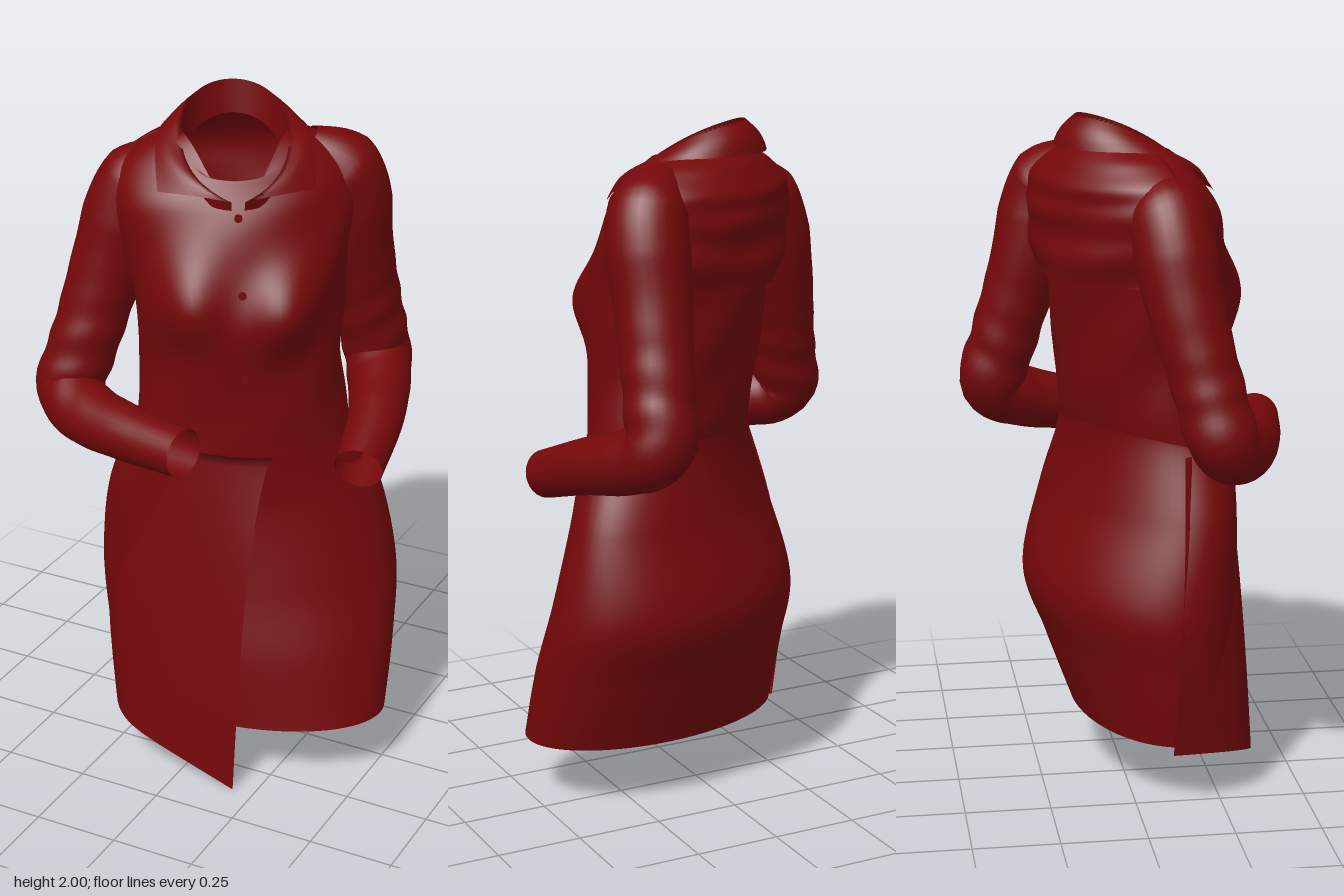
import * as THREE from 'three';
import { ParametricGeometry } from 'three/addons/geometries/ParametricGeometry.js';

const { lerp, degToRad } = THREE.MathUtils;
const V = (x, y, z) => new THREE.Vector3(x, y, z);
const TAU = Math.PI * 2;

const cloth = new THREE.MeshStandardMaterial({ color: 0x75080a, side: THREE.DoubleSide });
cloth.name = 'dark red cloth';

function add(parent, name, geometry) {
  const mesh = new THREE.Mesh(geometry, cloth);
  mesh.name = name;
  parent.add(mesh);
  return mesh;
}

// Smooth interpolation of each column of a table of rings
function ringTable(rows) {
  const curves = rows[0].map((_, c) => new THREE.SplineCurve(rows.map((r) => new THREE.Vector2(r[c], 0))));
  return (v) => curves.map((c) => c.getPoint(v).x);
}

// Rings: y, centre x, centre z, half width, half depth, neckline drop
const torsoRings = ringTable([
  [1.02, 0.02, 0.09, 0.31, 0.185, 0],
  [1.15, 0.02, 0.075, 0.295, 0.205, 0],
  [1.30, 0.015, 0.065, 0.285, 0.22, 0],
  [1.45, 0.01, 0.055, 0.30, 0.23, 0],
  [1.60, 0.005, 0.03, 0.32, 0.225, 0],
  [1.72, 0, 0.005, 0.335, 0.21, 0],
  [1.80, 0, -0.02, 0.315, 0.185, 0.01],
  [1.865, 0, -0.02, 0.24, 0.15, 0.07],
  [1.90, 0, -0.01, 0.15, 0.13, 0.16],
]);
// Rings: y, centre x, centre z, half width, half depth, turn in degrees
const skirtRings = ringTable([
  [1.04, 0.067, 0.077, 0.32, 0.185, 30],
  [0.85, 0.06, 0.046, 0.395, 0.21, 28],
  [0.60, 0.062, 0.02, 0.435, 0.27, 22],
  [0.40, 0.085, 0.06, 0.43, 0.262, 15],
  [0.19, 0.105, 0.1, 0.415, 0.235, 8],
]);

// Point on the blouse; t = PI / 2 is the front
function torsoPoint(t, v, offset, target) {
  const [y, cx, cz, a, b, drop] = torsoRings(v);
  const s = Math.sin(t), front = Math.max(0, s) ** 4;
  const crease = 0.005 * Math.sin(5 * t + 22 * v) * Math.sin(Math.PI * Math.min(1, v * 1.3));
  const grow = offset + crease;
  const x = cx + (a + grow) * Math.cos(t);
  let z = cz + (b + grow) * s + drop * 0.5 * front;
  // bust
  if (s > 0) {
    for (const side of [-1, 1]) {
      z += 0.07 * s * Math.exp(-(((x - side * 0.15) / 0.11) ** 2) - (((y - 1.46) / 0.13) ** 2));
    }
  }
  return target.set(x, y - drop * front, z);
}

function torsoPatch(t0, t1, v0, v1, offset, nu, nv) {
  return new ParametricGeometry(
    (u, v, p) => torsoPoint(lerp(t0, t1, u), lerp(v0, v1, v), offset(u, v), p), nu, nv);
}

// Skirt with a waist that rises towards the back
function skirtGeometry() {
  return new ParametricGeometry((u, v, p) => {
    const [y, cx, cz, a, b, turn] = skirtRings(v);
    const t = u * TAU, c = Math.cos(degToRad(turn)), s = Math.sin(degToRad(turn));
    const rise = Math.max(0, -Math.sin(t)) * (1 - v) ** 6;
    const x = a * Math.cos(t), z = b * Math.sin(t) * (1 + 0.2 * rise);
    p.set(cx + x * c + z * s, y + 0.06 * rise, cz - x * s + z * c);
  }, 72, 40);
}

// Collar: inner stand, fold line, then the flap with two pointed tips
function collarGeometry() {
  const base = V(0, 0, 0), fold = V(0, 0, 0), edge = V(0, 0, 0);
  const polar = (out, phi, r, y) => out.set(r * Math.sin(phi), y, r * Math.cos(phi));
  return new ParametricGeometry((u, v, p) => {
    const s = u * 2 - 1, m = Math.abs(s);
    const phi = Math.PI + s * (Math.PI - 0.08);
    const k = (1 - Math.cos(phi)) / 2, open = 0.09 * (1 - k) ** 4;
    polar(base, phi, 0.13 + open, 1.735 + 0.165 * k);
    polar(fold, phi, 0.138 + open, 1.755 + 0.24 * k ** 0.55);
    polar(edge, Math.PI + s * (Math.PI - 0.95), 0.2 + 0.066 * m ** 5, 1.77 + 0.13 * (1 - m ** 6));
    if (v < 0.5) {
      p.lerpVectors(base, fold, v * 2);
    } else {
      // the flap bows outwards over the shirt
      const w = v * 2 - 1, bow = 0.02 * Math.sin(Math.PI * w);
      p.lerpVectors(fold, edge, w);
      p.set(p.x * (1 + bow * 3), p.y + bow * 0.4, p.z * (1 + bow * 3));
    }
  }, 64, 12);
}

// Sleeve: a tube whose radius follows a list, with soft bunching at the elbow
function sleeveGeometry(points) {
  const radii = [0.05, 0.112, 0.118, 0.11, 0.102, 0.1, 0.1, 0.093, 0.084, 0.076, 0.07];
  const path = new THREE.CatmullRomCurve3(points);
  const seg = 80, sides = 28;
  const geometry = new THREE.TubeGeometry(path, seg, 1, sides, false);
  const pos = geometry.attributes.position, nor = geometry.attributes.normal;
  const n = V(0, 0, 0);
  for (let i = 0; i < pos.count; i++) {
    const ring = Math.floor(i / (sides + 1)), t = ring / seg;
    const f = t * (radii.length - 1), j = Math.min(Math.floor(f), radii.length - 2);
    const around = (i % (sides + 1)) / sides * TAU;
    const bunch = 0.003 * Math.exp(-(((t - 0.55) / 0.15) ** 2)) * Math.sin(t * 70 + 2 * Math.sin(around));
    const r = lerp(radii[j], radii[j + 1], f - j) + bunch;
    const c = path.getPointAt(t);
    n.fromBufferAttribute(nor, i);
    pos.setXYZ(i, c.x + n.x * r, c.y + n.y * r, c.z + n.z * r);
  }
  geometry.computeVertexNormals();
  // share normals across the tube's seam
  for (let r = 0; r <= seg; r++) {
    const a = r * (sides + 1), b = a + sides;
    n.fromBufferAttribute(nor, a).add(V(nor.getX(b), nor.getY(b), nor.getZ(b))).normalize();
    nor.setXYZ(a, n.x, n.y, n.z);
    nor.setXYZ(b, n.x, n.y, n.z);
  }
  return geometry;
}

// Wrap panel: turns tightly round the right hip, then runs flat to a free slanted edge
function wrapGeometry() {
  return new ParametricGeometry((u, v, p) => {
    const w = u * u;
    const left = -0.25 - 0.068 * v - 0.07 * Math.sin(Math.PI * v);
    const right = 0.24 - 0.065 * Math.sqrt(v) + 0.01 * v;
    const zLeft = lerp(0.14, 0.1, v), zRight = lerp(0.31, 0.37, v);
    const hug = 0.075 * (1 - v) ** 4 * w ** 4;
    p.set(lerp(left, right, w),
      lerp(1.04, 0.17 * (1 - w), v),
      lerp(zLeft, zRight, 1 - (1 - w) ** lerp(4, 8, v)) - hug);
  }, 48, 36);
}

export function createModel() {
  const model = new THREE.Group();
  model.name = 'wrapDress';

  // Upper body, turned towards its left
  const body = new THREE.Group();
  body.name = 'upperBody';
  body.rotation.y = Math.PI / 6;
  model.add(body);
  add(body, 'blouse', torsoPatch(0, TAU, 0, 1, () => 0, 96, 72));
  add(body, 'collar', collarGeometry());
  add(body, 'placket', torsoPatch(Math.PI / 2 - 0.06, Math.PI / 2 + 0.06, 0, 0.99, () => 0.006, 6, 60));

  // Draped yoke hanging over the upper back
  add(body, 'backYoke', torsoPatch(Math.PI + 0.1, TAU - 0.1, 0.44, 0.96, (u, v) => {
    const middle = Math.sqrt(Math.max(0, Math.sin(Math.PI * u)));
    const fold = 0.006 * Math.sin(26 * v + 5 * middle) * middle * (1 - v);
    return 0.006 + 0.026 * (1 - v) * middle + fold;
  }, 60, 40));

  // Buttons down the placket
  for (const v of [0.05, 0.225, 0.43, 0.62]) {
    const button = add(body, 'button', new THREE.CylinderGeometry(0.011, 0.011, 0.008, 16));
    torsoPoint(Math.PI / 2, v, 0.009, button.position);
    button.rotation.x = Math.PI / 2;
  }

  add(model, 'skirt', skirtGeometry());
  add(model, 'wrapPanel', wrapGeometry());

  add(model, 'rightSleeve', sleeveGeometry([
    V(-0.15, 1.81, 0.05), V(-0.255, 1.73, 0.085), V(-0.325, 1.52, 0.12), V(-0.385, 1.27, 0.18),
    V(-0.415, 1.12, 0.225), V(-0.34, 1.085, 0.28), V(-0.17, 1.08, 0.345), V(0.045, 1.08, 0.395),
  ]));
  add(model, 'leftSleeve', sleeveGeometry([
    V(0.16, 1.85, -0.12), V(0.245, 1.755, -0.19), V(0.26, 1.53, -0.25), V(0.28, 1.28, -0.325),
    V(0.295, 1.15, -0.355), V(0.335, 1.1, -0.28), V(0.4, 1.05, -0.11), V(0.437, 0.985, 0.085),
  ]));

  return model;
}
